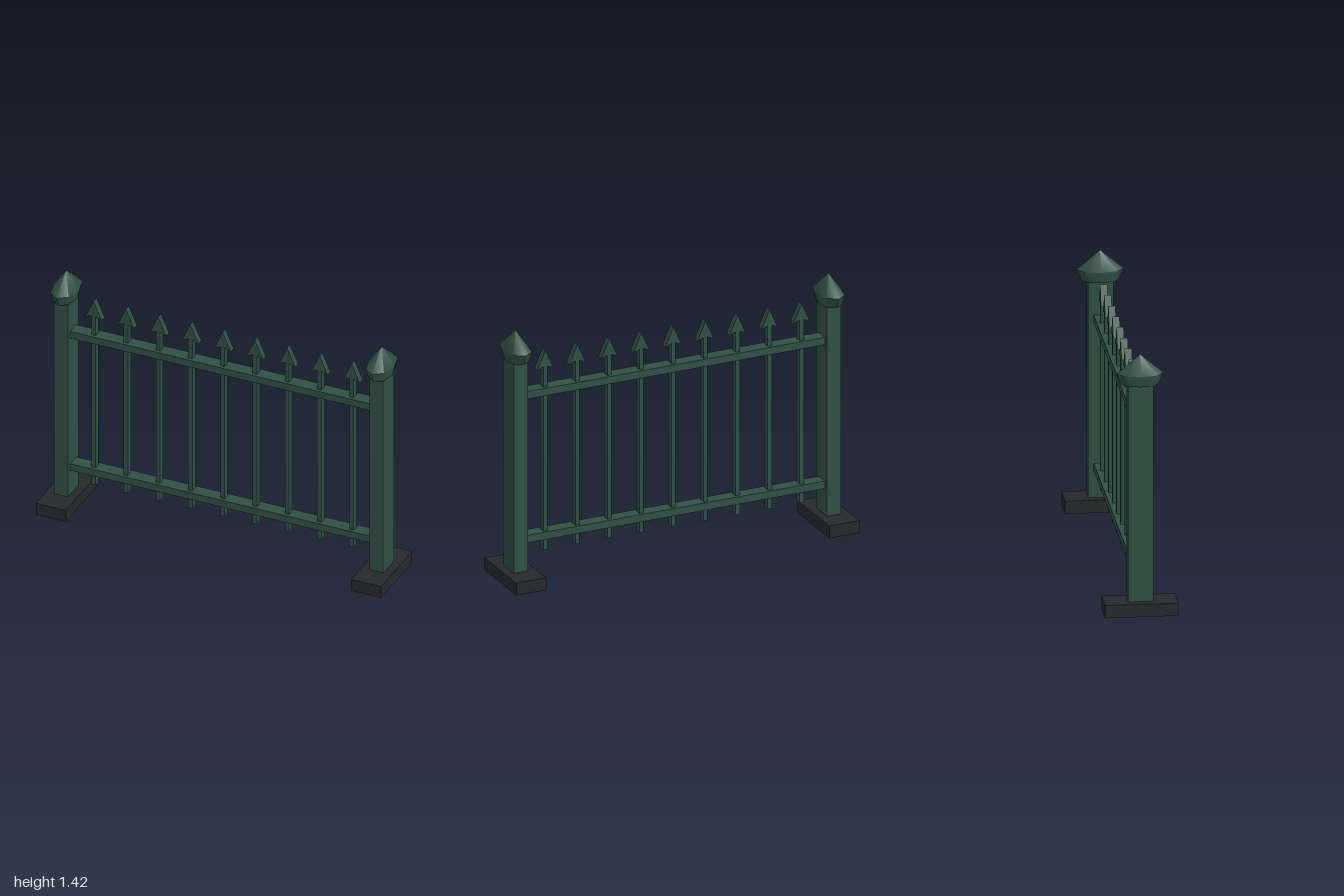
import * as THREE from 'three';
import { toCreasedNormals } from 'three/addons/utils/BufferGeometryUtils.js';

export function createModel() {
  const model = new THREE.Group();
  const green = new THREE.MeshStandardMaterial({ color: 0x2f4f43 });
  const dark = new THREE.MeshStandardMaterial({ color: 0x26282b });

  const add = (parent, name, geometry, material, x, y, z = 0) => {
    const mesh = new THREE.Mesh(geometry, material);
    mesh.name = name;
    mesh.position.set(x, y, z);
    parent.add(mesh);
    return mesh;
  };

  // Eight-sided post cap: flared collar and pointed top, stretched in z
  const capProfile = [[0, 0], [0.061, 0], [0.076, 0.06], [0, 0.165]]
    .map(([r, y]) => new THREE.Vector2(r, y));
  const capGeometry = toCreasedNormals(
    new THREE.LatheGeometry(capProfile, 8).scale(1, 1, 1.64), 0.9);

  // End posts on foot plates
  for (const side of [-1, 1]) {
    const post = new THREE.Group();
    post.name = side > 0 ? 'leftPost' : 'rightPost';
    post.position.x = side * 0.913;
    add(post, 'foot', new THREE.BoxGeometry(0.174, 0.07, 0.39), dark, 0, 0.035);
    add(post, 'shaft', new THREE.BoxGeometry(0.08, 1.2, 0.134), green, 0, 0.665);
    add(post, 'cap', capGeometry, green, 0, 1.26);
    model.add(post);
  }

  // Horizontal rails between the posts
  for (const [name, y] of [['lowerRail', 0.238], ['upperRail', 1.056]]) {
    add(model, name, new THREE.BoxGeometry(1.75, 0.042, 0.076), green, 0, y);
  }

  // Barbed flat spear head
  const head = new THREE.Shape([[0, 0.108], [-0.048, 0], [-0.012, 0.016], [0.012, 0.016], [0.048, 0]]
    .map(([x, y]) => new THREE.Vector2(x, y)));
  const headGeometry = new THREE.ExtrudeGeometry(head, { depth: 0.038, bevelEnabled: false })
    .translate(0, 0, -0.019);
  const barGeometry = new THREE.BoxGeometry(0.025, 1.045, 0.038);

  // Nine evenly spaced pickets
  for (let i = -4; i <= 4; i++) {
    const picket = new THREE.Group();
    picket.name = 'picket';
    picket.position.x = i * 0.1868;
    add(picket, 'bar', barGeometry, green, 0, 0.6725);
    add(picket, 'spearHead', headGeometry, green, 0, 1.177);
    model.add(picket);
  }

  return model;
}
